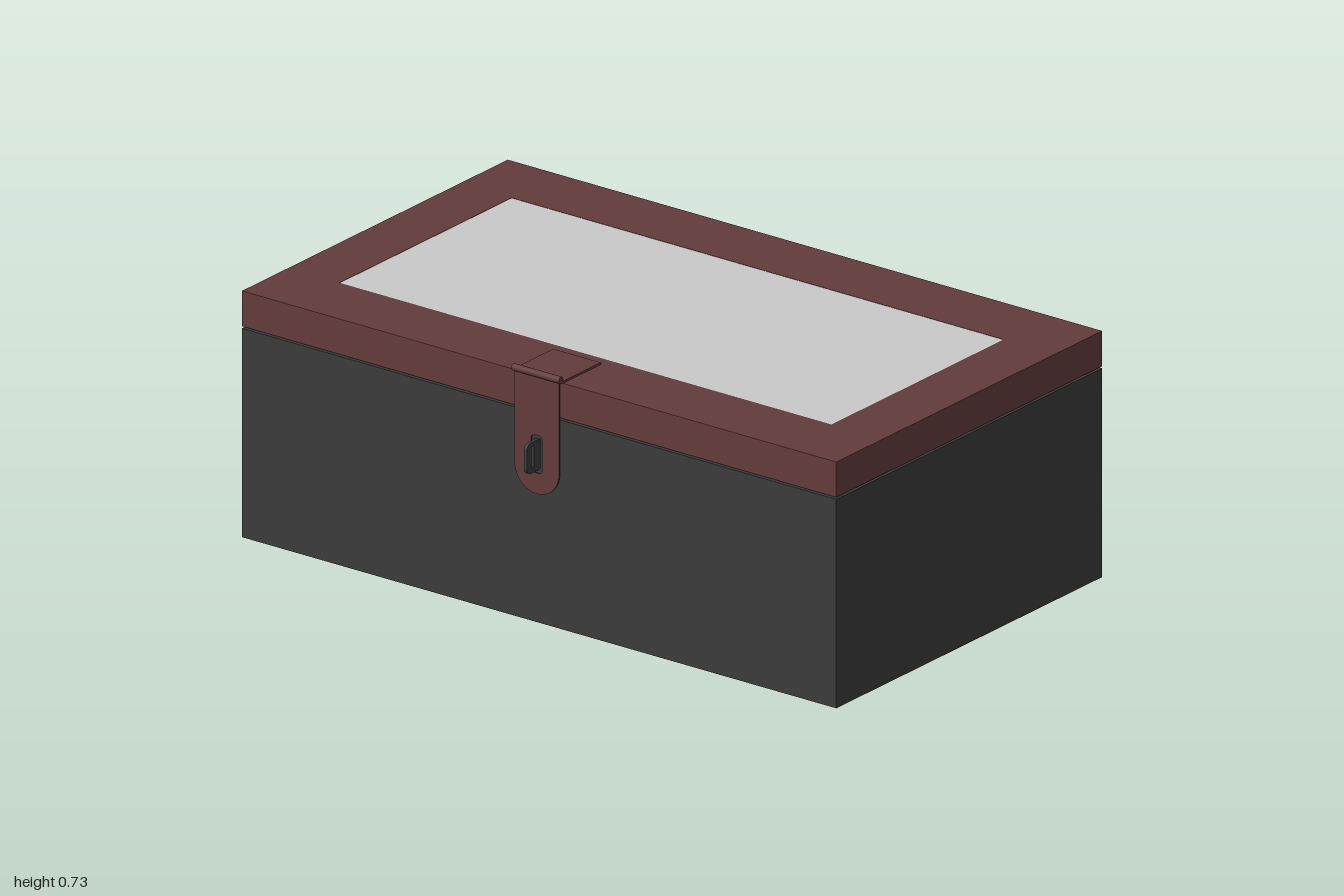
import * as THREE from 'three';

const X0 = -0.557, X1 = 0.614, CX = (X0 + X1) / 2, W = X1 - X0;

const rect = (P, x0, y0, x1, y1) => {
  const p = new P();
  p.moveTo(x0, y0);
  p.lineTo(x1, y0);
  p.lineTo(x1, y1);
  p.lineTo(x0, y1);
  p.closePath();
  return p;
};

// rounded rectangle or, with r = half the width, a slot
const rounded = (P, x0, y0, x1, y1, r) => {
  const p = new P();
  p.absarc(x1 - r, y1 - r, r, 0, Math.PI / 2);
  p.absarc(x0 + r, y1 - r, r, Math.PI / 2, Math.PI);
  p.absarc(x0 + r, y0 + r, r, Math.PI, Math.PI * 1.5);
  p.absarc(x1 - r, y0 + r, r, Math.PI * 1.5, Math.PI * 2);
  p.closePath();
  return p;
};

const extrude = (shape, depth) =>
  new THREE.ExtrudeGeometry(shape, { depth, bevelEnabled: false, curveSegments: 10 });

export function createModel() {
  const group = new THREE.Group();
  const dark = new THREE.MeshStandardMaterial({ color: 0x3b3b3b });
  const wood = new THREE.MeshStandardMaterial({ color: 0x643c3c });
  const grey = new THREE.MeshStandardMaterial({ color: 0xcccccc });

  const add = (name, geometry, material, x = 0, y = 0, z = 0) => {
    const mesh = new THREE.Mesh(geometry, material);
    mesh.name = name;
    mesh.position.set(x, y, z);
    group.add(mesh);
    return mesh;
  };

  // Open case: floor and four walls
  const t = 0.04, h = 0.603;
  add('caseFloor', new THREE.BoxGeometry(W, t, 2), dark, CX, t / 2, 0);
  const walls = rect(THREE.Shape, X0, -1, X1, 1);
  walls.holes.push(rect(THREE.Path, X0 + t, -1 + t, X1 - t, 1 - t));
  add('caseWalls', extrude(walls, h - t).rotateX(-Math.PI / 2), dark, 0, t, 0);

  // Lid frame, a hair above the case, with a flush window panel
  const frame = rect(THREE.Shape, X0, -1, X1, 1);
  frame.holes.push(rect(THREE.Path, -0.353, -0.828, 0.406, 0.828));
  add('lidFrame', extrude(frame, 0.102).rotateX(-Math.PI / 2), wood, 0, 0.609, 0);
  add('windowPanel', new THREE.BoxGeometry(0.759, 0.02, 1.656), grey, 0.0265, 0.7, 0);

  // Clasp: plate on the lid, hinge barrel, hanging strap with a slot
  add('hingePlate', new THREE.BoxGeometry(0.172, 0.006, 0.16), wood, -0.476, 0.714, 0);
  add('hingeBarrel', new THREE.CylinderGeometry(0.01, 0.01, 0.16, 16).rotateX(Math.PI / 2),
    wood, -0.565, 0.722, 0);

  const strap = new THREE.Shape();
  strap.moveTo(0.075, 0.722);
  strap.lineTo(-0.075, 0.722);
  strap.lineTo(-0.075, 0.45);
  strap.absarc(0, 0.45, 0.075, Math.PI, Math.PI * 2);
  strap.closePath();
  strap.holes.push(rounded(THREE.Path, -0.02, 0.435, 0.02, 0.545, 0.015));
  add('hasp', extrude(strap, 0.004).rotateY(-Math.PI / 2), wood, -0.563, 0, 0);

  // Staple that passes through the slot
  const ring = rounded(THREE.Shape, -0.617, 0.445, X0 + 0.01, 0.534, 0.018);
  ring.holes.push(rect(THREE.Path, -0.598, 0.46, -0.585, 0.522));
  add('staple', extrude(ring, 0.01), dark, 0, 0, -0.005);

  return group;
}
